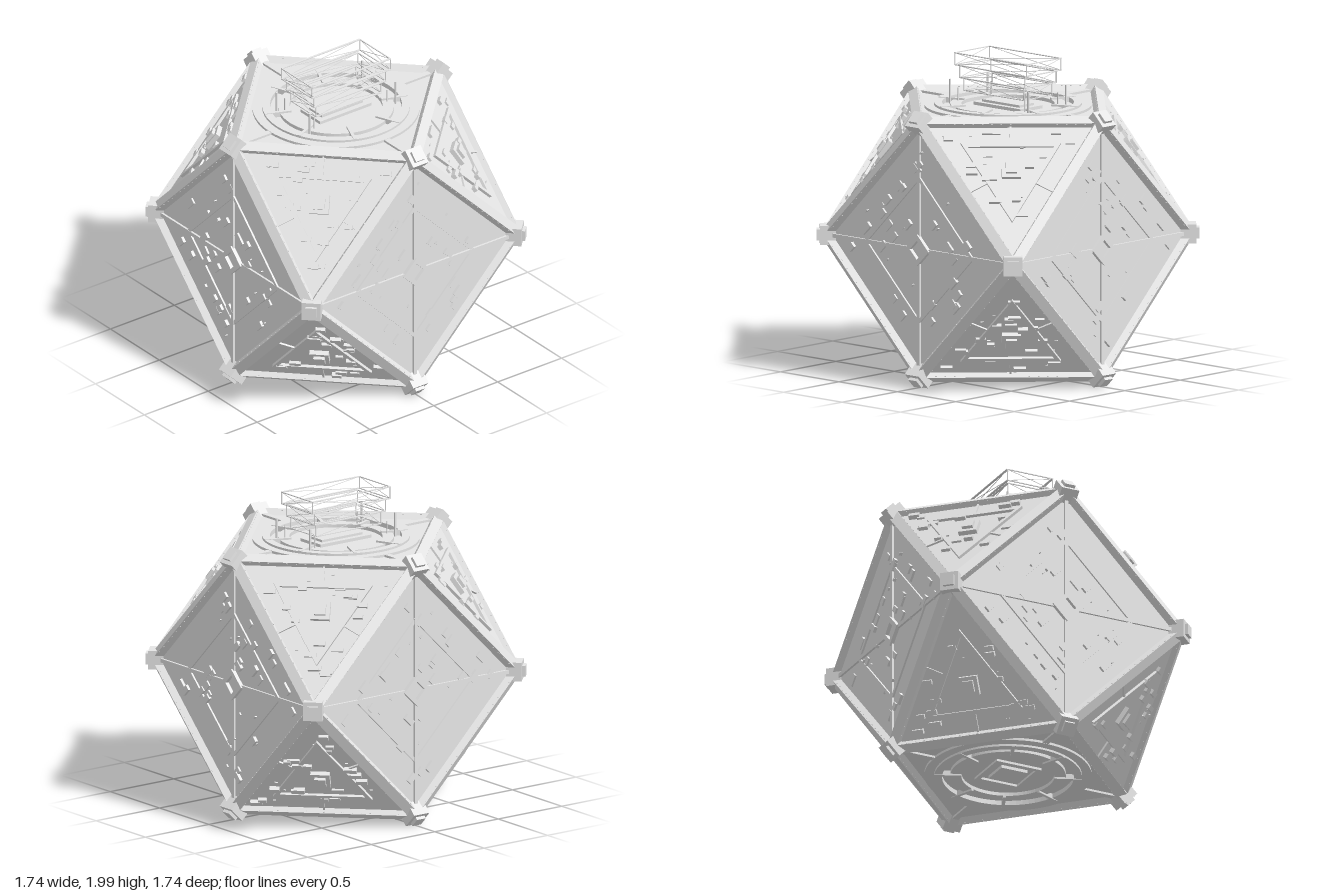
import * as THREE from 'three';
import { ConvexGeometry } from 'three/addons/geometries/ConvexGeometry.js';

const A = 0.8;        // half extent of the core solid
const CY = 0.875;     // height of its centre
const hull = new THREE.MeshStandardMaterial({ color: 0xe5e5e5, flatShading: true });
hull.name = 'hull grey';

let seed = 7;
const rand = () => (seed = (seed * 16807) % 2147483647) / 2147483647;
const V = (x, y, z) => new THREE.Vector3(x, y, z);

function mesh(parent, name, geo) {
  const m = new THREE.Mesh(geo, hull);
  m.name = name;
  parent.add(m);
  return m;
}

// Box standing on the local z plane, turned about z
function plate(parent, name, x, y, w, d, h, turn = 0, z = 0) {
  const m = mesh(parent, name, new THREE.BoxGeometry(w, d, h));
  m.position.set(x, y, z + h / 2);
  m.rotation.z = turn;
  return m;
}

// Flat raised outline of a regular polygon (or circle when n is large)
function outline(parent, name, n, rOut, rIn, h, start = Math.PI / 2) {
  const ring = r => Array.from({ length: n }, (_, i) => {
    const t = start + i * 2 * Math.PI / n;
    return new THREE.Vector2(r * Math.cos(t), r * Math.sin(t));
  });
  const s = new THREE.Shape(ring(rOut));
  s.holes.push(new THREE.Path(ring(rIn)));
  return mesh(parent, name, new THREE.ExtrudeGeometry(s, { depth: h, bevelEnabled: false }));
}

// Group whose z axis is the outward normal and y axis is "up" on the face
function facing(parent, name, pos, normal, up) {
  const n = normal.clone().normalize();
  const t = up.clone().cross(n).normalize();
  const g = new THREE.Group();
  g.name = name;
  g.quaternion.setFromRotationMatrix(new THREE.Matrix4().makeBasis(t, n.clone().cross(t), n));
  g.position.copy(pos);
  parent.add(g);
  return g;
}

// Mast bar between two points: w wide, h tall
function bar(parent, name, a, b, w, h = w) {
  const m = mesh(parent, name, new THREE.BoxGeometry(w, h, a.distanceTo(b)));
  m.position.copy(a).add(b).multiplyScalar(0.5);
  m.lookAt(b);
  return m;
}

function sidePanel(g) {
  for (const s of [-1, 1]) {
    plate(g, 'crossRib', 0, s * 0.42, 0.025, 0.68, 0.014);
    plate(g, 'crossRib', s * 0.42, 0, 0.68, 0.025, 0.014);
  }
  outline(g, 'diamondRib', 4, 0.47, 0.44, 0.012);
  outline(g, 'centreFrame', 4, 0.1, 0.06, 0.025);
  for (let i = 0; i < 38; i++) {
    const p = (rand() - 0.5) * 0.92, q = (rand() - 0.5) * 0.92;
    if (Math.hypot(p, q) < 0.13) continue;
    const small = i % 4 === 0;
    plate(g, 'surfaceBlock', (p - q) * Math.SQRT1_2, (p + q) * Math.SQRT1_2,
      small ? 0.02 : 0.045 + rand() * 0.035, small ? 0.006 : 0.038, 0.01 + rand() * 0.012,
      Math.PI / 4 + (rand() < 0.2 ? Math.PI / 2 : 0));
  }
}

function trianglePanel(g, sy) {
  const start = sy * -Math.PI / 2;
  outline(g, 'triangleRib', 3, 0.36, 0.31, 0.018, start);
  plate(g, 'hatchBase', 0, 0, 0.12, 0.12, 0.03);
  plate(g, 'hatchTop', 0, 0, 0.07, 0.07, 0.02, 0, 0.03);
  for (let k = 0; k < 3; k++) {
    const t = start + Math.PI / 3 + k * 2 * Math.PI / 3;
    plate(g, 'edgeRib', 0.24 * Math.cos(t), 0.24 * Math.sin(t), 0.14, 0.012, 0.012, t);
  }
  for (let i = 0; i < 26; i++) {
    let u = rand(), v = rand();
    if (u + v > 1) { u = 1 - u; v = 1 - v; }
    const c = [u, v, 1 - u - v];
    let x = 0, y = 0;
    c.forEach((w, k) => {
      x += w * 0.52 * Math.cos(start + k * 2 * Math.PI / 3);
      y += w * 0.52 * Math.sin(start + k * 2 * Math.PI / 3);
    });
    if (Math.hypot(x, y) < 0.11) continue;
    const small = i % 4 === 0;
    plate(g, 'surfaceBlock', x, y, small ? 0.02 : 0.045 + rand() * 0.035,
      small ? 0.006 : 0.03, small ? 0.008 : 0.012 + rand() * 0.018);
  }
}

function ringPanel(g, isTop) {
  [[0.52, 0.46, 0.016], [0.46, 0.41, 0.03], [0.36, 0.29, 0.022]].forEach(([o, i, h]) =>
    outline(g, 'ring', 64, o, i, h));
  for (let k = 0; k < 8; k++) {
    const t = (k + 0.5) * Math.PI / 4;
    plate(g, 'ringSpoke', 0.375 * Math.cos(t), 0.375 * Math.sin(t), 0.17, 0.02, 0.034, t);
  }
  for (let k = 0; k < 4; k++) {
    const t = k * Math.PI / 2;
    plate(g, 'cornerSpoke', 0.63 * Math.cos(t), 0.63 * Math.sin(t), 0.24, 0.04, 0.014, t);
  }
  if (isTop) {
    plate(g, 'padBase', 0, 0, 0.4, 0.2, 0.02);
    plate(g, 'padTop', 0, 0, 0.32, 0.13, 0.015, 0, 0.02);
  } else {
    outline(g, 'squareRib', 4, 0.22, 0.18, 0.015, Math.PI / 4);
    plate(g, 'padTop', 0, 0, 0.18, 0.18, 0.02);
  }
}

// Flaring open lattice of three tiers, with posts around its foot
function latticeMast(parent) {
  const g = new THREE.Group();
  g.name = 'latticeMast';
  parent.add(g);
  const tiers = [[0.255, 0.127], [0.28, 0.141], [0.306, 0.156]];
  tiers.forEach(([x, z], i) => {
    const lo = 1.762 + i * 0.08, hi = lo + 0.075;
    const c = [[x, z], [-x, z], [-x, -z], [x, -z]];
    c.forEach(([px, pz], k) => {
      const [qx, qz] = c[(k + 1) % 4];
      const w = k % 2 ? 0.007 : 0.014;
      for (const y of [lo, hi]) bar(g, 'rail', V(px, y, pz), V(qx, y, qz), w, 0.005);
      bar(g, 'upright', V(px, lo, pz), V(px, hi, pz), 0.005);
      bar(g, 'brace', V(px, lo, pz), V(qx, hi, qz), 0.003);
      bar(g, 'brace', V(px, hi, pz), V(qx, lo, qz), 0.003);
    });
  });
  for (const sx of [-1, 1]) for (const sz of [-1, 1]) {
    bar(g, 'tallPost', V(sx * 0.335, CY + A, sz * 0.17), V(sx * 0.335, 1.83, sz * 0.17), 0.01);
    bar(g, 'shortPost', V(sx * 0.285, CY + A, sz * 0.15), V(sx * 0.285, 1.78, sz * 0.15), 0.006);
  }
}

export function createModel() {
  const root = new THREE.Group();
  const shell = new THREE.Group();
  shell.name = 'shell';
  shell.position.y = CY;
  root.add(shell);

  // Core solid with eight triangles and six squares
  const pts = [];
  for (const s of [-A, A]) for (const t of [-A, A]) pts.push(V(s, t, 0), V(s, 0, t), V(0, s, t));
  mesh(shell, 'core', new ConvexGeometry(pts));

  // Corner caps
  for (const p of pts) {
    const up = p.x && p.y ? V(0, 0, 1) : p.y ? V(1, 0, 0) : V(0, 1, 0);
    const g = facing(shell, 'cornerCap', p.clone().setLength(1.07), p, up);
    plate(g, 'capBlock', 0, 0, 0.12, 0.12, 0.1);
    plate(g, 'capPlate', 0, 0, 0.07, 0.07, 0.02, 0, 0.1);
  }

  // Edge beams with fine rivets along both flanks
  pts.forEach((a, i) => pts.slice(i + 1).forEach(b => {
    if (Math.abs(a.distanceTo(b) - A * Math.SQRT2) > 0.01) return;
    const mid = a.clone().add(b).multiplyScalar(0.5);
    const g = facing(shell, 'edgeBeam', mid, mid, b.clone().sub(a));
    plate(g, 'beam', 0, 0, 0.064, 1.09, 0.052, 0, -0.027);
    for (let k = -8; k <= 8; k++) for (const s of [-1, 1])
      plate(g, 'rivet', s * 0.032, k * 0.058, 0.006, 0.01, 0.006, 0, 0.012);
  }));

  // Square faces
  for (const [x, z] of [[0, 1], [1, 0], [0, -1], [-1, 0]])
    sidePanel(facing(shell, 'sidePanel', V(x * A, 0, z * A), V(x, 0, z), V(0, 1, 0)));
  ringPanel(facing(shell, 'topPanel', V(0, A, 0), V(0, 1, 0), V(0, 0, -1)), true);
  ringPanel(facing(shell, 'bottomPanel', V(0, -A, 0), V(0, -1, 0), V(0, 0, 1)), false);

  // Triangular faces
  for (const x of [-1, 1]) for (const y of [-1, 1]) for (const z of [-1, 1]) {
    const n = V(x, y, z);
    trianglePanel(facing(shell, 'trianglePanel', n.clone().multiplyScalar(A * 2 / 3), n, V(0, 1, 0)), y);
  }

  latticeMast(root);
  return root;
}
